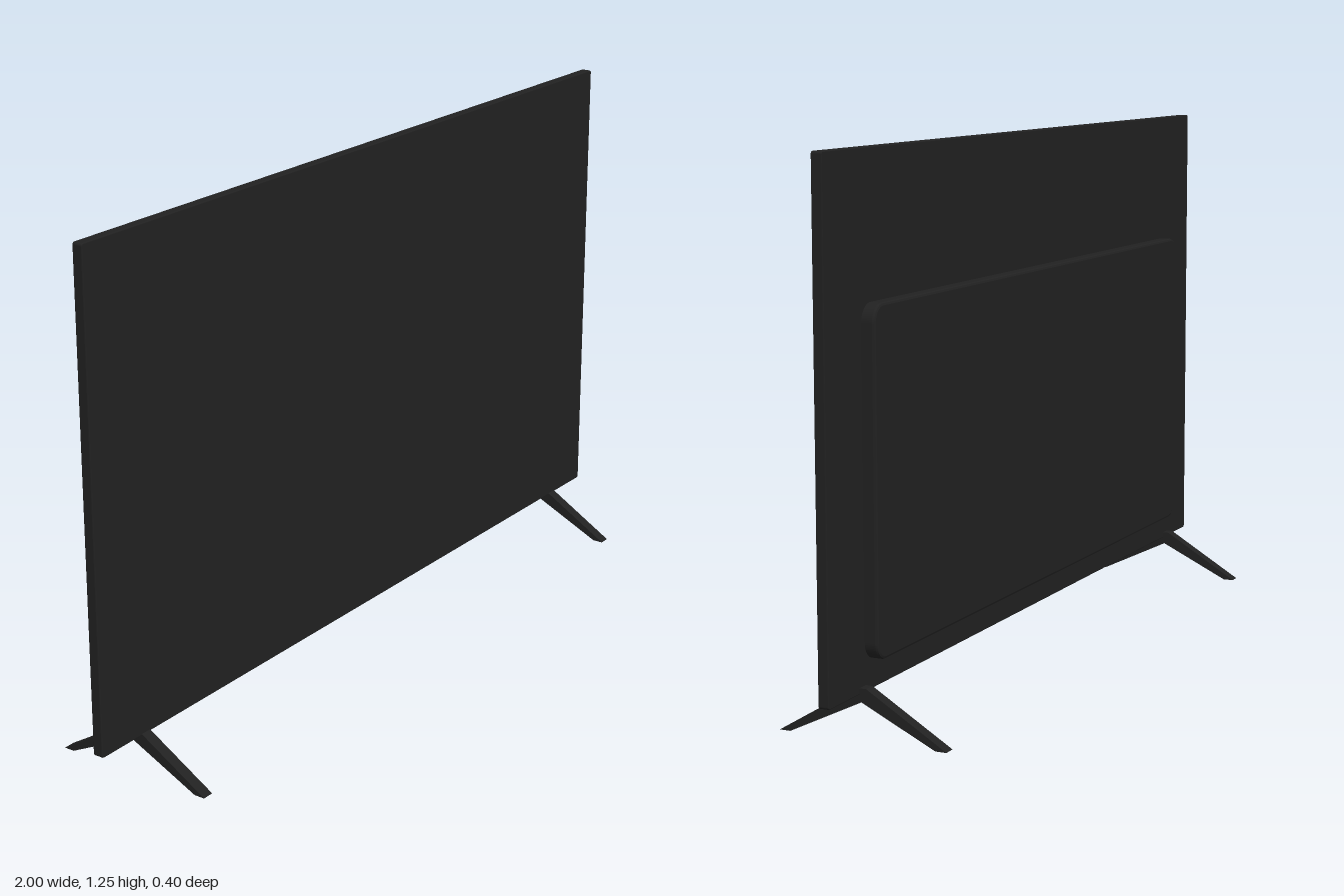
import * as THREE from 'three';

// Rectangle with rounded corners, centred on (0, cy)
function roundedRect(w, h, r, cy) {
  const x = w / 2, b = cy - h / 2, t = cy + h / 2;
  const s = new THREE.Shape();
  s.moveTo(-x + r, b);
  s.lineTo(x - r, b);
  s.absarc(x - r, b + r, r, -Math.PI / 2, 0);
  s.lineTo(x, t - r);
  s.absarc(x - r, t - r, r, 0, Math.PI / 2);
  s.lineTo(-x + r, t);
  s.absarc(-x + r, t - r, r, Math.PI / 2, Math.PI);
  s.lineTo(-x, b + r);
  s.absarc(-x + r, b + r, r, Math.PI, Math.PI * 1.5);
  return s;
}

// Rounded slab between z0 and z1 with bevelled rims
function slab(w, h, r, cy, z0, z1, bevel) {
  const geo = new THREE.ExtrudeGeometry(roundedRect(w, h, r, cy), {
    depth: z1 - z0 - 2 * bevel, bevelEnabled: true, bevelThickness: bevel,
    bevelSize: bevel, bevelOffset: -bevel, bevelSegments: 2, curveSegments: 8,
  });
  return geo.translate(0, 0, z0 + bevel);
}

export function createModel() {
  const model = new THREE.Group();
  const black = new THREE.MeshStandardMaterial({ color: 0x212121 });
  black.name = 'matte black';

  const add = (name, geo) => {
    const mesh = new THREE.Mesh(geo, black);
    mesh.name = name;
    model.add(mesh);
    return mesh;
  };

  // Thin display panel and the raised housing behind it
  add('displayPanel', slab(2, 1.145, 0.006, 0.6725, 0.004, 0.029, 0.002));
  add('rearHousing', slab(1.69, 0.758, 0.04, 0.545, -0.027, 0.015, 0.006));

  // Splayed feet: an inverted V profile in z and y
  const width = 0.028;
  const profile = new THREE.Shape([
    [0.2, 0], [0.02, 0.109], [0.012, 0.114], [-0.012, 0.114], [-0.02, 0.109],
    [-0.2, 0], [-0.174, 0], [0, 0.084], [0.174, 0],
  ].map(([z, y]) => new THREE.Vector2(z, y)));
  const footGeo = new THREE.ExtrudeGeometry(profile, { depth: width, bevelEnabled: false });
  footGeo.translate(0, 0, -width / 2).rotateY(-Math.PI / 2);
  for (const side of [1, -1]) {
    add(side > 0 ? 'leftFoot' : 'rightFoot', footGeo).position.x = side * 0.856;
  }

  return model;
}
